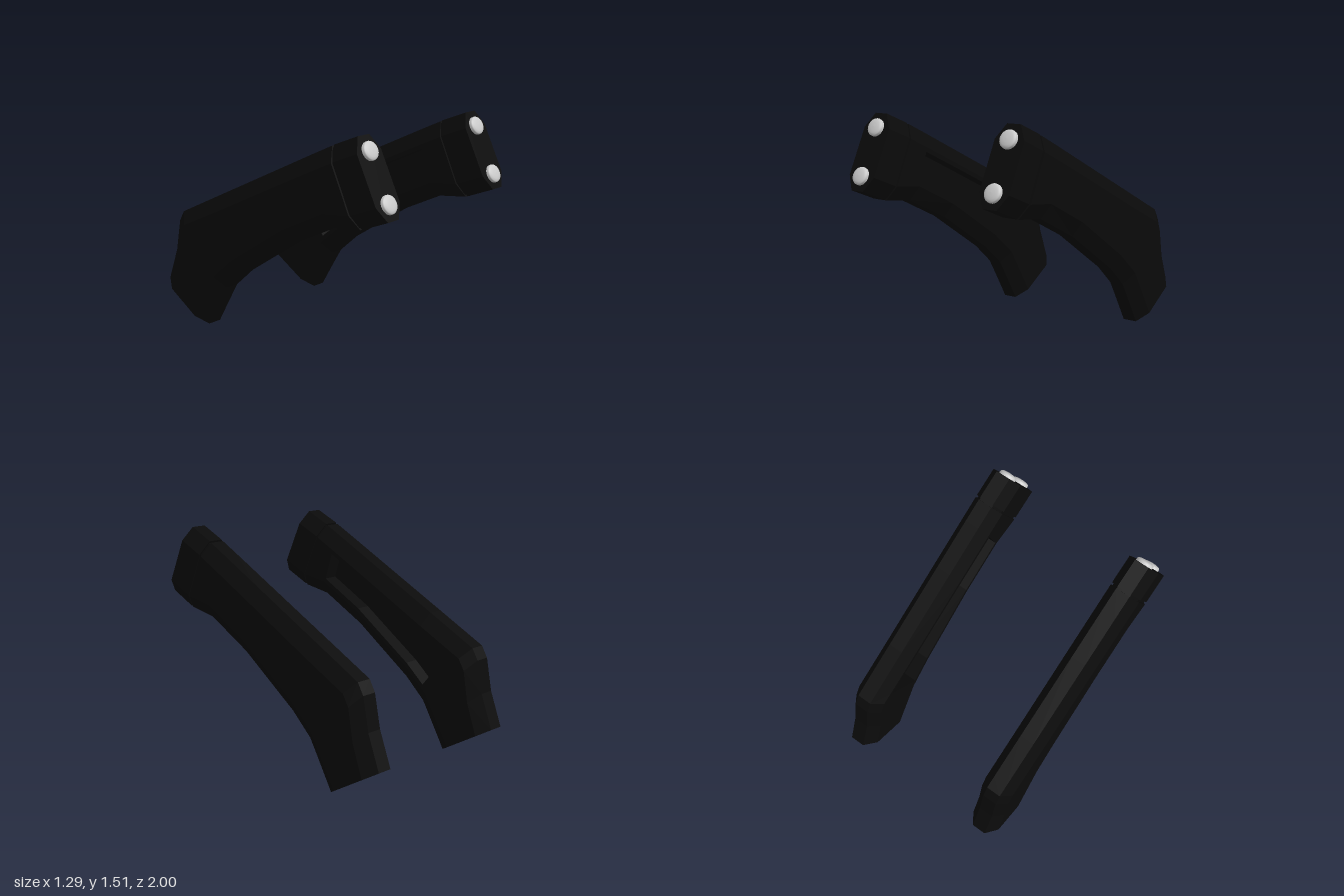
import * as THREE from 'three';

const HALF = 0.108, FLAT = 0.05, CHAMFER = 0.1, LIP = 0.03;

// Chamfered section between a top and a bottom point [z, y];
// depth sinks the inner face, inset shrinks the whole section.
function section([tz, ty, bz, by, depth = 0, inset = 0], side) {
  const len = Math.hypot(bz - tz, by - ty);
  const h = HALF - inset, lo = inset, hi = len - inset, c = CHAMFER;
  const profile = [
    [-FLAT, lo], [FLAT, lo], [h, c], [h, len - c], [FLAT, hi], [-FLAT, hi],
    [-h, len - c], [-h, len - c - LIP], [-h + depth, len - c - LIP],
    [-h + depth, c + LIP], [-h, c + LIP], [-h, c],
  ];
  return profile.map(([x, s]) => new THREE.Vector3(
    x * side, ty + (by - ty) * s / len, tz + (bz - tz) * s / len));
}

// Closed flat-shaded loft through sections listed from front to back
function loft(rows, side) {
  const rings = rows.map((r) => section(r, side));
  const n = rings[0].length, pos = [];
  const tri = (a, b, c) => {
    const area = b.clone().sub(a).cross(c.clone().sub(a)).length();
    if (area < 1e-7) return;
    for (const p of side > 0 ? [a, b, c] : [a, c, b]) pos.push(p.x, p.y, p.z);
  };
  for (let k = 0; k < rings.length - 1; k++) {
    const f = rings[k], r = rings[k + 1];
    for (let i = 0; i < n; i++) {
      const j = (i + 1) % n;
      tri(f[i], f[j], r[j]);
      tri(f[i], r[j], r[i]);
    }
  }
  const first = rings[0], last = rings[rings.length - 1];
  for (let i = 1; i < n - 1; i++) {
    tri(first[0], first[i + 1], first[i]);
    tri(last[0], last[i], last[i + 1]);
  }
  const g = new THREE.BufferGeometry();
  g.setAttribute('position', new THREE.Float32BufferAttribute(pos, 3));
  g.computeVertexNormals();
  return g;
}

// Rows: top z, top y, bottom z, bottom y, recess depth, inset
const END_CAP = [[0.765, 1.515, 1.0, 1.04], [0.58, 1.44, 0.805, 0.96]];
const COLLAR = [[0.6, 1.445, 0.825, 0.965, 0, 0.012], [0.54, 1.42, 0.765, 0.95, 0, 0.012]];
const BODY = [
  [0.566, 1.432, 0.79, 0.955],
  [0.42, 1.364, 0.57, 0.925],
  [0.42, 1.364, 0.57, 0.925, 0.1],
  [0.1, 1.212, 0.22, 0.755, 0.1],
  [-0.45, 0.951, -0.24, 0.455, 0.1],
  [-0.74, 0.813, -0.36, 0.35, 0.1],
  [-0.74, 0.813, -0.36, 0.35],
  [-0.82, 0.775, -0.4, 0.315],
  [-0.865, 0.7, -0.45, 0.235],
  [-0.91, 0.48, -0.52, 0.12],
  [-1.0, 0.25, -0.59, 0.003],
];

export function createModel() {
  const model = new THREE.Group();
  model.name = 'handlePair';
  const black = new THREE.MeshStandardMaterial({ color: 0x0a0a0a, flatShading: true });
  const grey = new THREE.MeshStandardMaterial({ color: 0xcccccc });

  // Slightly domed stud
  const studGeo = new THREE.LatheGeometry(
    [[0.06, -0.01], [0.06, 0.014], [0.056, 0.022], [0.042, 0.028], [0.022, 0.031], [0, 0.032]]
      .map(([x, y]) => new THREE.Vector2(x, y)), 32);
  const axis = new THREE.Vector3(0, 0.443, 0.896).normalize();

  for (const side of [1, -1]) {
    const handle = new THREE.Group();
    handle.name = side > 0 ? 'leftHandle' : 'rightHandle';
    handle.position.x = 0.535 * side;
    for (const [name, rows] of [['endCap', END_CAP], ['collar', COLLAR], ['gripBody', BODY]]) {
      const mesh = new THREE.Mesh(loft(rows, side), black);
      mesh.name = name;
      handle.add(mesh);
    }
    // Two studs on the front face
    for (const [name, y, z] of [['upperStud', 1.425, 0.81], ['lowerStud', 1.128, 0.956]]) {
      const stud = new THREE.Mesh(studGeo, grey);
      stud.name = name;
      stud.position.set(0, y, z);
      stud.quaternion.setFromUnitVectors(new THREE.Vector3(0, 1, 0), axis);
      handle.add(stud);
    }
    model.add(handle);
  }
  return model;
}
